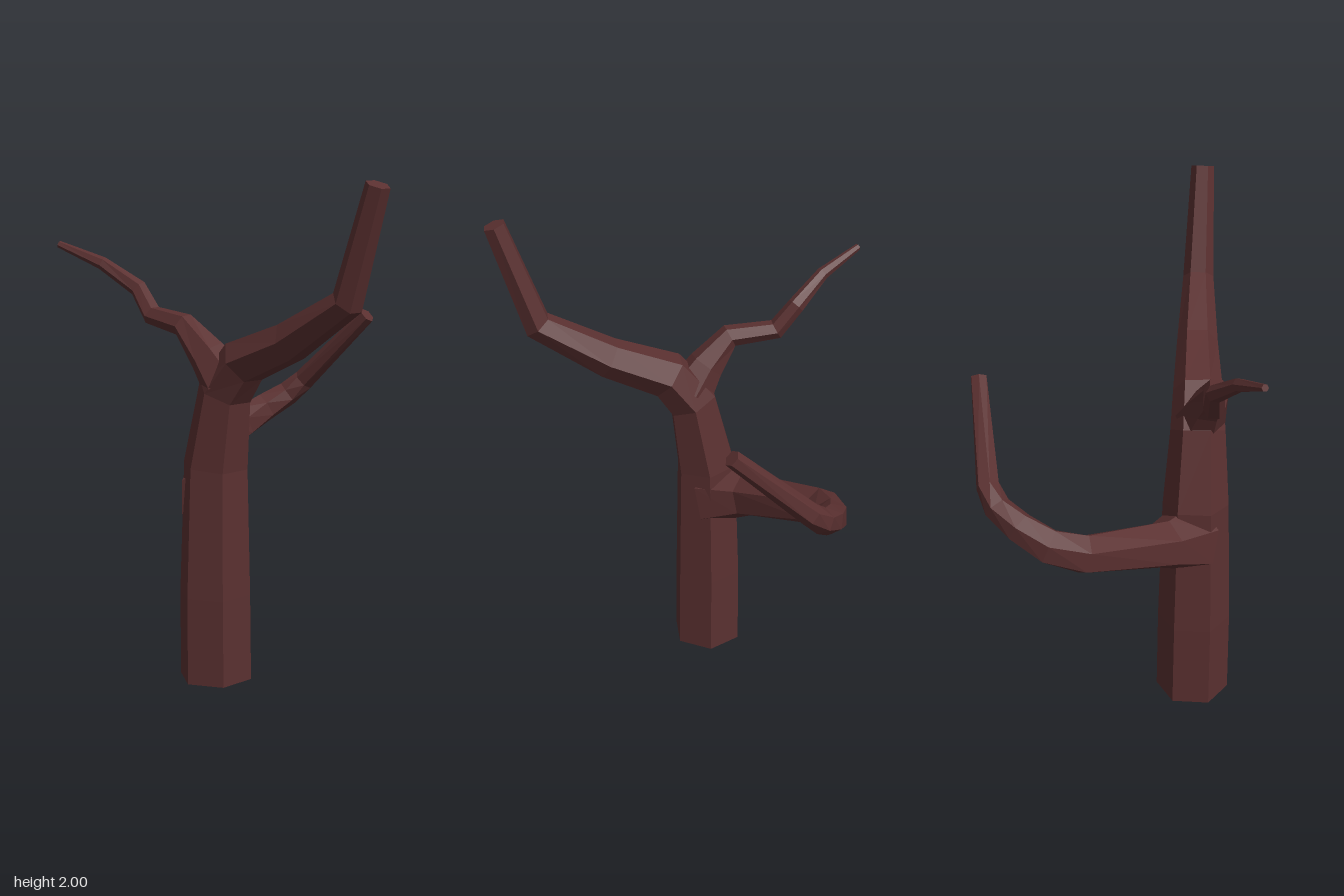
import * as THREE from 'three';

const SIDES = 6;
const X = new THREE.Vector3(1, 0, 0);
const Y = new THREE.Vector3(0, 1, 0);

// Six-sided limb through rings [x, y, z, radius]; one corner of each ring points along ref.
function limb(name, rings, ref, material, startTangent) {
  const centres = rings.map(([x, y, z]) => new THREE.Vector3(x, y, z));
  const last = rings.length - 1;
  const pos = [];
  const index = [];
  centres.forEach((c, i) => {
    // Mitre each ring between its two neighbouring segments
    const before = centres[i].clone().sub(centres[Math.max(i - 1, 0)]).normalize();
    const after = centres[Math.min(i + 1, last)].clone().sub(c).normalize();
    const t = i === 0 && startTangent ? startTangent : before.add(after).normalize();
    const u = ref.clone().addScaledVector(t, -ref.dot(t)).normalize();
    const v = t.clone().cross(u);
    for (let k = 0; k < SIDES; k++) {
      const a = (k / SIDES) * Math.PI * 2;
      const p = c.clone()
        .addScaledVector(u, Math.cos(a) * rings[i][3])
        .addScaledVector(v, Math.sin(a) * rings[i][3]);
      pos.push(p.x, p.y, p.z);
    }
  });
  for (let i = 0; i < last; i++) {
    for (let k = 0; k < SIDES; k++) {
      const a = i * SIDES + k;
      const b = i * SIDES + ((k + 1) % SIDES);
      index.push(a, b, b + SIDES, a, b + SIDES, a + SIDES);
    }
  }
  // End caps
  const top = last * SIDES;
  for (let k = 1; k < SIDES - 1; k++) {
    index.push(0, k + 1, k, top, top + k, top + k + 1);
  }
  const geo = new THREE.BufferGeometry();
  geo.setAttribute('position', new THREE.Float32BufferAttribute(pos, 3));
  geo.setIndex(index);
  const flat = geo.toNonIndexed();
  flat.computeVertexNormals();
  const mesh = new THREE.Mesh(flat, material);
  mesh.name = name;
  return mesh;
}

export function createModel() {
  const group = new THREE.Group();
  group.name = 'bareTree';
  const bark = new THREE.MeshStandardMaterial({ color: 0x5a3030, flatShading: true });

  // Trunk bending forward into the tall front limb
  group.add(limb('trunk', [
    [-0.315, 0, -0.105, 0.148],
    [-0.315, 0.35, -0.105, 0.146],
    [-0.312, 0.87, -0.098, 0.131],
    [-0.312, 1.17, -0.04, 0.108],
    [-0.305, 1.295, 0.06, 0.098],
    [-0.29, 1.395, 0.3, 0.082],
    [-0.278, 1.563, 0.578, 0.062],
    [-0.28, 1.987, 0.723, 0.046],
  ], X, bark, Y));

  // Long branch sweeping round on the model's left
  group.add(limb('sideBranch', [
    [-0.3, 0.735, -0.125, 0.145],
    [-0.2, 0.77, -0.255, 0.1],
    [0.09, 0.87, -0.515, 0.08],
    [0.22, 0.905, -0.526, 0.073],
    [0.335, 0.965, -0.495, 0.062],
    [0.425, 1.02, -0.448, 0.053],
    [0.467, 1.08, -0.394, 0.046],
    [0.538, 1.385, -0.085, 0.034],
  ], Y, bark));

  // Thin crooked branch at the back
  group.add(limb('backBranch', [
    [-0.32, 1.21, -0.03, 0.1],
    [-0.35, 1.31, -0.1, 0.075],
    [-0.382, 1.42, -0.2, 0.048],
    [-0.38, 1.44, -0.39, 0.041],
    [-0.384, 1.54, -0.47, 0.035],
    [-0.468, 1.637, -0.59, 0.026],
    [-0.558, 1.708, -0.752, 0.014],
  ], X, bark));

  return group;
}
